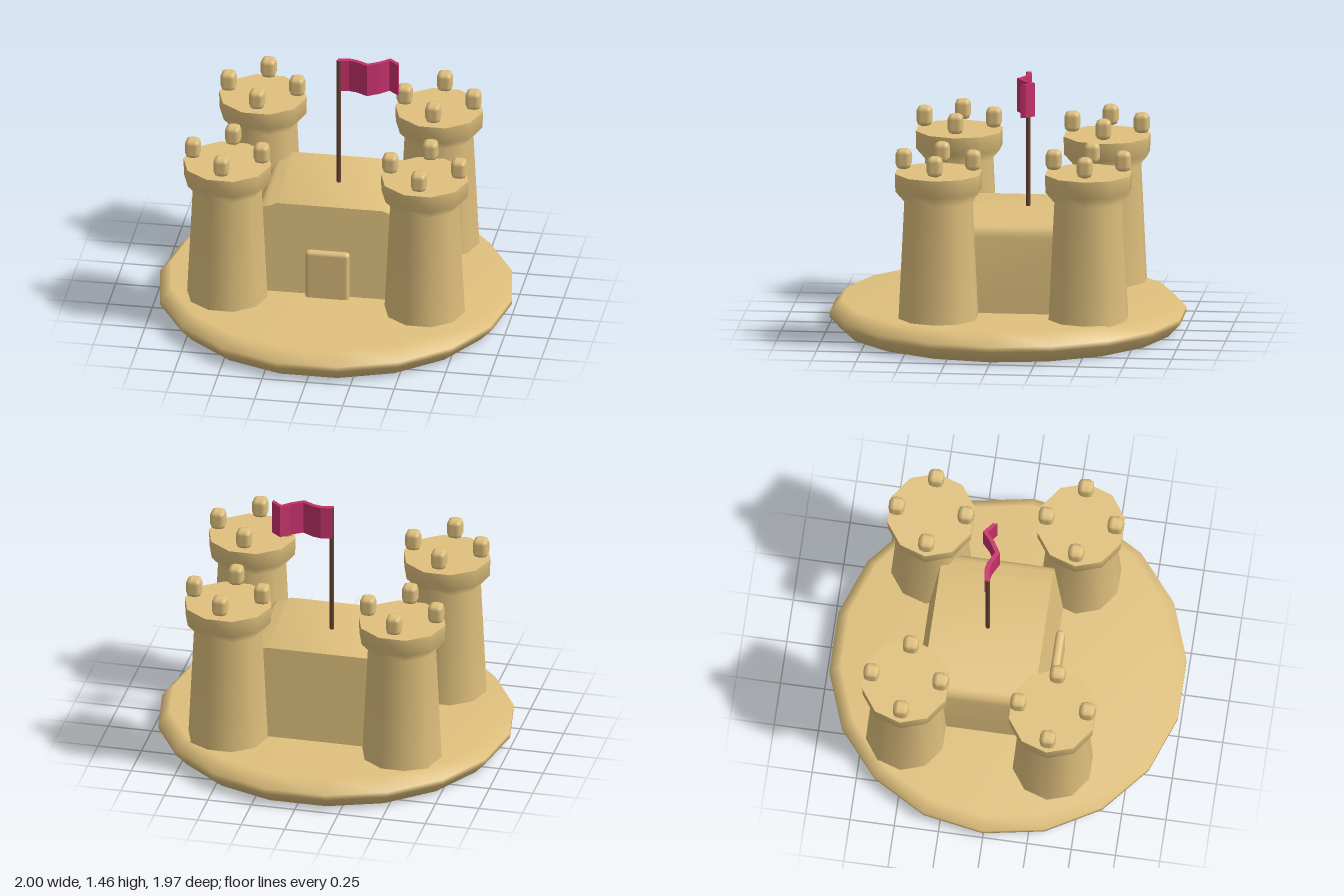
import * as THREE from 'three';
import { toCreasedNormals } from 'three/addons/utils/BufferGeometryUtils.js';
import { RoundedBoxGeometry } from 'three/addons/geometries/RoundedBoxGeometry.js';

function material(name, color) {
  const m = new THREE.MeshStandardMaterial({ color });
  m.name = name;
  return m;
}

export function createModel() {
  const model = new THREE.Group();
  model.name = 'sandcastle';
  const sand = material('sand', 0xdfc07d);
  const wood = material('dark wood', 0x65432f);
  const cloth = material('pink cloth', 0xc4316a);

  const add = (parent, name, geometry, mat, x = 0, y = 0, z = 0) => {
    const mesh = new THREE.Mesh(geometry, mat);
    mesh.name = name;
    mesh.position.set(x, y, z);
    parent.add(mesh);
    return mesh;
  };
  const lathe = (points, sides) => {
    const g = new THREE.LatheGeometry(points.map(([r, y]) => new THREE.Vector2(r, y)), sides);
    return g.rotateY(Math.PI / 2); // put a corner on the x axis
  };

  // Round mound with a softly bevelled rim
  add(model, 'base', lathe([[0, 0], [0.935, 0], [1, 0.07], [1, 0.1], [0.935, 0.17], [0, 0.17]], 18), sand);

  // Keep: rounded side edges, front and back walls leaning inward
  const profile = new THREE.Shape();
  profile.moveTo(-0.435, 0.1);
  profile.lineTo(0.435, 0.1);
  profile.lineTo(0.425, 0.6);
  profile.quadraticCurveTo(0.42, 0.67, 0.35, 0.675);
  profile.lineTo(0.3, 0.695);
  profile.lineTo(-0.3, 0.695);
  profile.lineTo(-0.35, 0.675);
  profile.quadraticCurveTo(-0.42, 0.67, -0.425, 0.6);
  const keep = new THREE.ExtrudeGeometry(profile, { depth: 0.76, bevelEnabled: false, curveSegments: 4 });
  keep.translate(0, 0, -0.38);
  const p = keep.attributes.position;
  for (let i = 0; i < p.count; i++) {
    const lean = 0.065 * (p.getY(i) - 0.1) / 0.595;
    p.setZ(i, p.getZ(i) - Math.sign(p.getZ(i)) * lean);
  }
  add(model, 'keep', toCreasedNormals(keep, 0.7), sand, 0, 0, -0.112);

  // Door slab on the front wall
  add(model, 'door', new RoundedBoxGeometry(0.25, 0.325, 0.05, 2, 0.022), sand, 0, 0.293, 0.281);

  // Four flared towers, each with four merlons
  const wall = lathe([[0.23, 0.13], [0.195, 0.84], [0.246, 0.9], [0.249, 1]], 10);
  const roof = new THREE.CircleGeometry(0.249, 10).rotateX(-Math.PI / 2);
  const merlon = new RoundedBoxGeometry(0.088, 0.115, 0.088, 1, 0.03);
  for (const [row, x, z] of [['front', 0.56, 0.333], ['back', 0.5, -0.505]]) {
    for (const side of [1, -1]) {
      const tower = new THREE.Group();
      tower.name = row + (side > 0 ? 'LeftTower' : 'RightTower');
      tower.position.set(side * x, 0, z);
      add(tower, 'towerWall', wall, sand);
      add(tower, 'towerRoof', roof, sand, 0, 1, 0);
      for (let i = 0; i < 4; i++) {
        const a = i * Math.PI / 2;
        add(tower, 'merlon', merlon, sand, 0.195 * Math.cos(a), 1.074, 0.195 * Math.sin(a));
      }
      model.add(tower);
    }
  }

  // Flagpole
  add(model, 'flagpole', new THREE.CylinderGeometry(0.013, 0.013, 0.8, 8), wood, -0.003, 1.058, -0.113);

  // Waving flag: a thick wavy strip extruded upward
  const wave = [[-0.01, -0.116], [0.055, -0.128], [0.1, -0.118], [0.165, -0.083],
    [0.23, -0.123], [0.278, -0.168], [0.335, -0.12]];
  const t = 0.014;
  const outline = new THREE.Shape([
    ...wave.map(([x, z]) => new THREE.Vector2(x, -z - t)),
    ...wave.slice().reverse().map(([x, z]) => new THREE.Vector2(x, -z + t)),
  ]);
  const flag = new THREE.ExtrudeGeometry(outline, { depth: 0.19, bevelEnabled: false });
  flag.rotateX(-Math.PI / 2);
  add(model, 'flag', flag, cloth, 0, 1.27, 0);

  return model;
}
